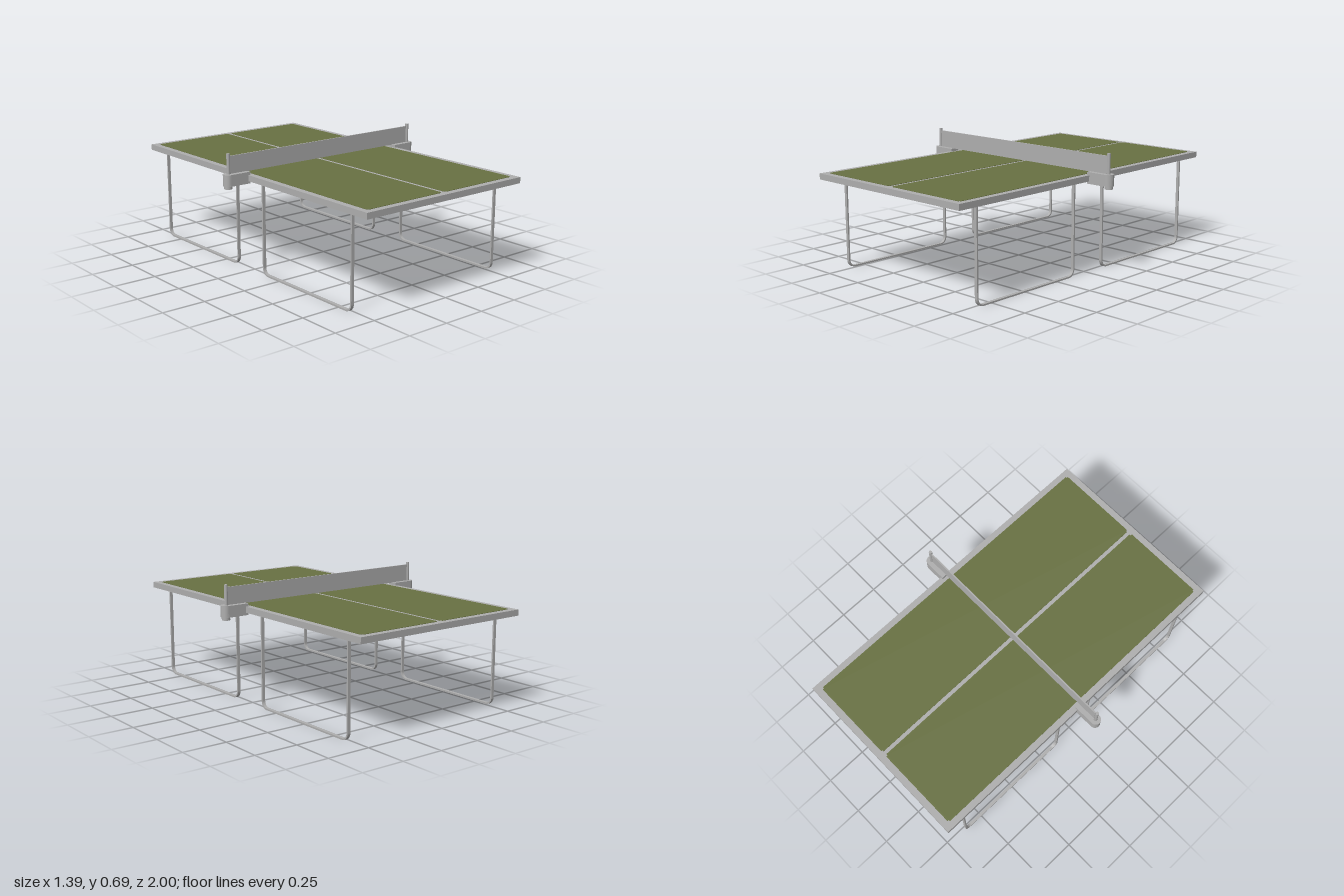
import * as THREE from 'three';

export function createModel() {
  const model = new THREE.Group();
  const grey = new THREE.MeshStandardMaterial({ color: 0xaeaeae });
  grey.name = 'grey';
  const green = new THREE.MeshStandardMaterial({ color: 0x687142 });
  green.name = 'olive green';

  const add = (name, geometry, material, x = 0, y = 0, z = 0) => {
    const mesh = new THREE.Mesh(geometry, material);
    mesh.name = name;
    mesh.position.set(x, y, z);
    model.add(mesh);
    return mesh;
  };
  const extrude = (shape, depth) =>
    new THREE.ExtrudeGeometry(shape, { depth, bevelEnabled: false, curveSegments: 8 });

  // Table slab
  add('tableTop', new THREE.BoxGeometry(1.11, 0.034, 2), grey, 0, 0.543, 0);

  // Playing field half with small notched corners, lying on the slab
  const w = 0.254, h = 0.963, c = 0.009;
  const field = new THREE.Shape([
    [-w + c, -h], [w - c, -h], [w - c, -h + c], [w, -h + c],
    [w, h - c], [w - c, h - c], [w - c, h], [-w + c, h],
    [-w + c, h - c], [-w, h - c], [-w, -h + c], [-w + c, -h + c],
  ].map(([x, y]) => new THREE.Vector2(x, y)));
  const fieldGeometry = extrude(field, 0.002).rotateX(-Math.PI / 2);

  // Leg hoop: a U-shaped bent bar, drawn in the z-y plane
  const halfSpan = 0.373, bar = 0.009, bend = 0.045, top = 0.53;
  const hoop = new THREE.Shape();
  hoop.moveTo(-halfSpan, top);
  hoop.lineTo(-halfSpan, 0.004 + bend);
  hoop.absarc(-halfSpan + bend, 0.004 + bend, bend, Math.PI, Math.PI * 1.5, false);
  hoop.absarc(halfSpan - bend, 0.004 + bend, bend, Math.PI * 1.5, Math.PI * 2, false);
  hoop.lineTo(halfSpan, top);
  hoop.lineTo(halfSpan - bar, top);
  hoop.absarc(halfSpan - bend, 0.004 + bend, bend - bar, 0, -Math.PI / 2, true);
  hoop.absarc(-halfSpan + bend, 0.004 + bend, bend - bar, -Math.PI / 2, -Math.PI, true);
  hoop.lineTo(-halfSpan + bar, top);
  const hoopGeometry = extrude(hoop, 0.018)
    .translate(0, -0.004, -0.009).rotateY(-Math.PI / 2);

  // Net clamp outline: square towards the table, round at the outer end
  const clamp = new THREE.Shape();
  clamp.moveTo(0.54, -0.03);
  clamp.lineTo(0.665, -0.03);
  clamp.absarc(0.665, 0, 0.03, -Math.PI / 2, Math.PI / 2, false);
  clamp.lineTo(0.54, 0.03);
  const clampGeometry = extrude(clamp, 0.065).rotateX(-Math.PI / 2);

  for (const side of [1, -1]) {
    const label = side > 0 ? 'left' : 'right';
    add(label + 'Field', fieldGeometry, green, side * 0.265, 0.56, 0);
    add(label + 'FrontLeg', hoopGeometry, grey, side * 0.517, 0, 0.484);
    add(label + 'BackLeg', hoopGeometry, grey, side * 0.517, 0, -0.498);

    // Clamp, its screw knob and the net post
    const body = add(label + 'Clamp', clampGeometry, grey, 0, 0.512, 0);
    if (side < 0) body.rotation.y = Math.PI;
    add(label + 'ClampKnob', new THREE.CylinderGeometry(0.023, 0.023, 0.02, 24),
      grey, side * 0.667, 0.505, 0);
    add(label + 'NetPost', new THREE.CylinderGeometry(0.01, 0.01, 0.12, 16),
      grey, side * 0.664, 0.63, 0);
  }

  // Net with its thicker upper band
  add('net', new THREE.BoxGeometry(1.315, 0.086, 0.004), grey, 0, 0.618, 0);
  add('netBand', new THREE.BoxGeometry(1.315, 0.016, 0.008), grey, 0, 0.668, 0);

  return model;
}
